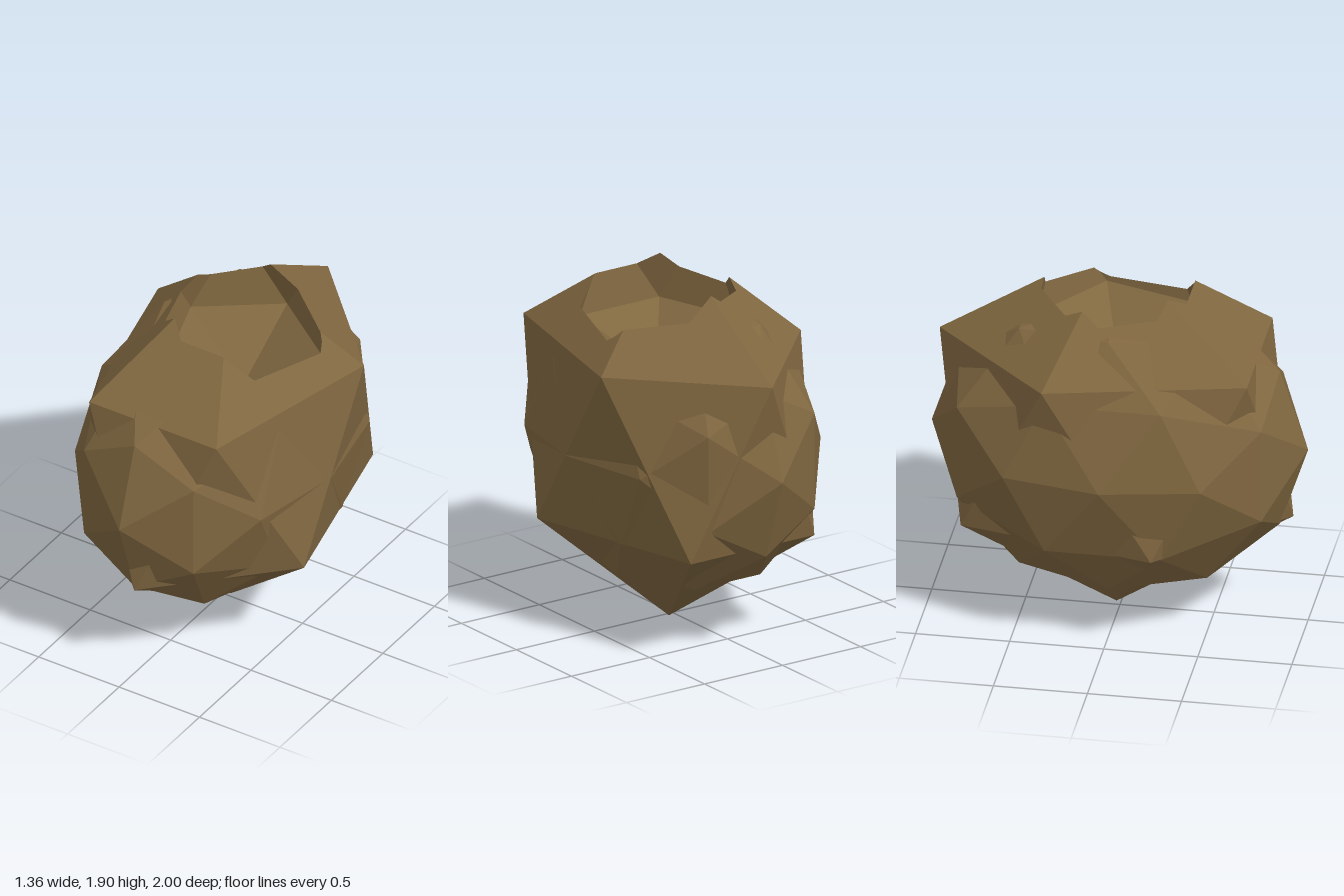
import * as THREE from 'three';
import { ConvexGeometry } from 'three/addons/geometries/ConvexGeometry.js';

const EPS = 1e-6;

// Icosahedron standing on a corner; its upper ring points along zDir.
function polarIcosahedron(center, radii, zDir) {
  const points = [new THREE.Vector3(0, 1, 0), new THREE.Vector3(0, -1, 0)];
  const ringRadius = 2 / Math.sqrt(5), ringHeight = 1 / Math.sqrt(5);
  for (const side of [1, -1]) {
    for (let i = 0; i < 5; i++) {
      const a = (i * 2 * Math.PI) / 5;
      points.push(new THREE.Vector3(
        ringRadius * Math.sin(a), side * ringHeight, side * zDir * ringRadius * Math.cos(a)));
    }
  }
  return new ConvexGeometry(points).scale(...radii).translate(...center);
}

// Geometry to a list of triangles, each a list of corners.
function toPolygons(geometry) {
  const pos = geometry.index ? geometry.toNonIndexed().attributes.position : geometry.attributes.position;
  const polygons = [];
  for (let i = 0; i < pos.count; i += 3) {
    polygons.push([0, 1, 2].map((k) => new THREE.Vector3().fromBufferAttribute(pos, i + k)));
  }
  return polygons;
}

const toPlanes = (polygons) => polygons.map((p) => new THREE.Plane().setFromCoplanarPoints(...p));

// Part of a polygon on one side of a plane (sign 1: in front, -1: behind).
function clip(polygon, plane, sign) {
  const out = [];
  polygon.forEach((a, i) => {
    const b = polygon[(i + 1) % polygon.length];
    const da = sign * plane.distanceToPoint(a), db = sign * plane.distanceToPoint(b);
    if (da >= -EPS) out.push(a);
    if ((da > EPS && db < -EPS) || (da < -EPS && db > EPS)) {
      out.push(a.clone().lerp(b, da / (da - db)));
    }
  });
  return out.length > 2 ? out : null;
}

// Split polygons into the parts inside and outside a convex solid.
function split(polygons, planes) {
  const inside = [], outside = [];
  for (const polygon of polygons) {
    let rest = polygon;
    const pieces = [];
    for (const plane of planes) {
      if (rest.some((p) => plane.distanceToPoint(p) > EPS)) {
        const front = clip(rest, plane, 1);
        if (front) pieces.push(front);
        rest = rest.some((p) => plane.distanceToPoint(p) < -EPS) ? clip(rest, plane, -1) : null;
        if (!rest) break;
      }
    }
    if (rest) {
      inside.push(rest);
      outside.push(...pieces);
    } else {
      outside.push(polygon); // untouched, so keep it whole
    }
  }
  return { inside, outside };
}

function toMesh(name, polygons, material, flip = false) {
  const points = [];
  for (const p of polygons) {
    for (let i = 1; i < p.length - 1; i++) {
      const tri = flip ? [p[0], p[i + 1], p[i]] : [p[0], p[i], p[i + 1]];
      if (new THREE.Triangle(...tri).getArea() > 1e-8) points.push(...tri);
    }
  }
  const geometry = new THREE.BufferGeometry().setFromPoints(points);
  geometry.computeVertexNormals();
  const mesh = new THREE.Mesh(geometry, material);
  mesh.name = name;
  return mesh;
}

export function createModel() {
  const group = new THREE.Group();
  group.name = 'hollowRock';
  const material = new THREE.MeshStandardMaterial({ color: 0x806740, flatShading: true });

  // Three convex solids: a coarse core, a finer body, and the hollow to remove
  const core = toPolygons(polarIcosahedron([0.04, 1.065, -0.025], [0.7525, 1.065, 1.051], -1));
  const body = toPolygons(new THREE.IcosahedronGeometry(1, 1).scale(0.68, 0.86, 1).translate(0, 1.012, 0));
  const hollow = toPolygons(polarIcosahedron([0.112, 1.85, -0.027], [0.481, 0.481, 0.481], 1));
  const corePlanes = toPlanes(core), bodyPlanes = toPlanes(body), hollowPlanes = toPlanes(hollow);

  // Outer surfaces, joined and opened at the top
  const coreSkin = split(split(core, bodyPlanes).outside, hollowPlanes).outside;
  const bodySkin = split(split(body, corePlanes).outside, hollowPlanes).outside;
  group.add(toMesh('angularCore', coreSkin, material));
  group.add(toMesh('roundedBody', bodySkin, material));

  // Walls and floor of the hollow, facing inward
  const inCore = split(hollow, corePlanes);
  const walls = [...inCore.inside, ...split(inCore.outside, bodyPlanes).inside];
  group.add(toMesh('topHollow', walls, material, true));

  return group;
}
